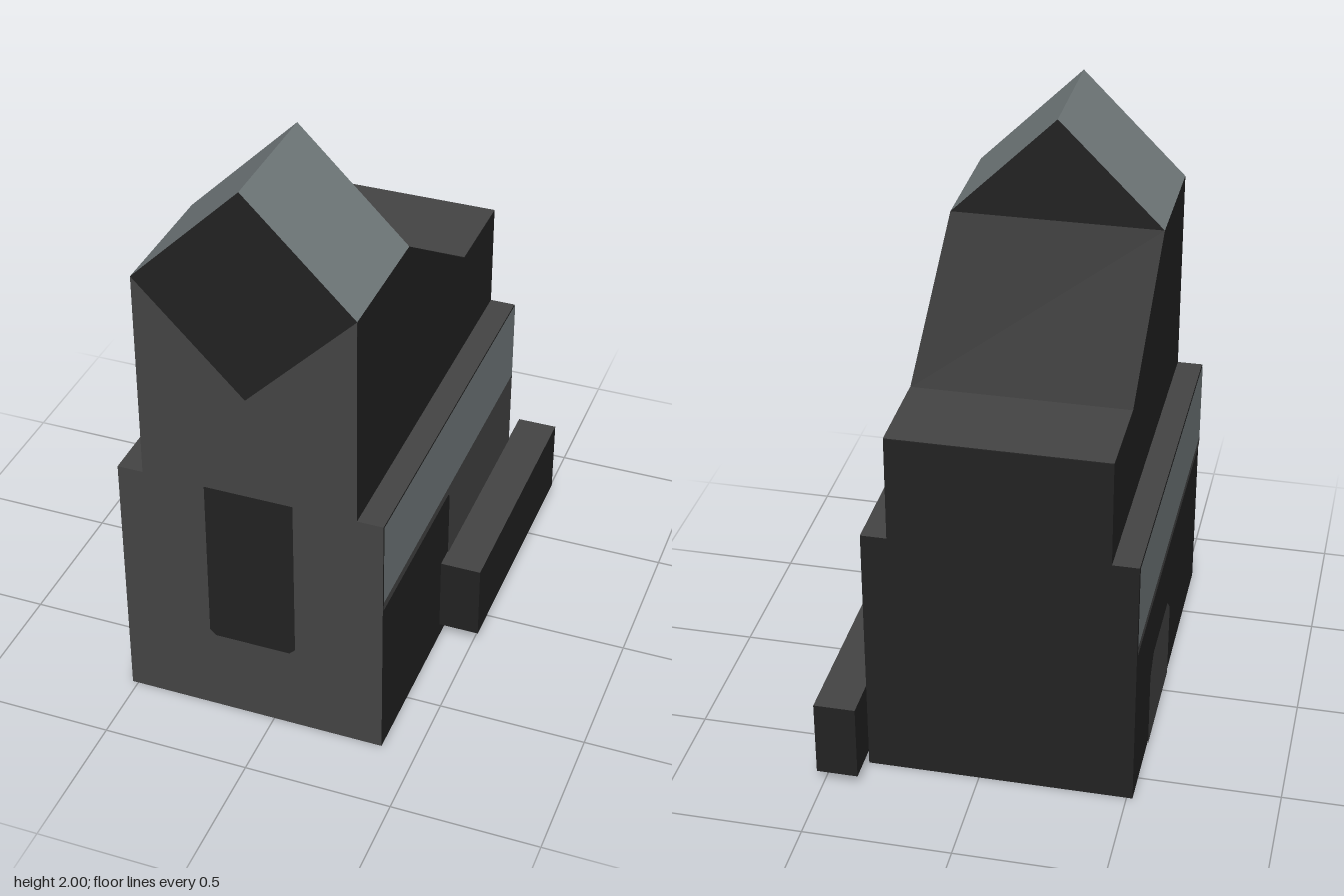
import * as THREE from 'three';

export function createModel() {
  const model = new THREE.Group();
  const mat = (name, color) => {
    const m = new THREE.MeshStandardMaterial({ color });
    m.name = name;
    return m;
  };
  const dark = mat('charcoal', 0x222222);
  const grey = mat('midGrey', 0x444444);
  const glass = mat('paleSlate', 0x727a7c);

  const add = (name, geometry, material) => {
    const mesh = new THREE.Mesh(geometry, material);
    mesh.name = name;
    model.add(mesh);
    return mesh;
  };

  const box = (name, [x0, x1], [y0, y1], [z0, z1], materials) =>
    add(name, new THREE.BoxGeometry(x1 - x0, y1 - y0, z1 - z0), materials)
      .position.set((x0 + x1) / 2, (y0 + y1) / 2, (z0 + z1) / 2);

  const outline = (points) => new THREE.Shape(points.map(([x, y]) => new THREE.Vector2(x, y)));

  // Flat painted panel, drawn as (across, up) and turned to face its wall
  const LIFT = 0.003;
  const panel = (name, points, material, turn, wall) => {
    const g = new THREE.ShapeGeometry(outline(points));
    g.translate(0, 0, wall + LIFT);
    g.rotateY(turn);
    return add(name, g, material);
  };
  const RIGHT = Math.PI / 2, LEFT = -Math.PI / 2;

  // Rectangle with cut corners at its top or bottom
  const cutRect = (x0, x1, y0, y1, bottom, top) => [
    [x0 + bottom, y0], [x1 - bottom, y0], [x1, y0 + bottom], [x1, y1 - top],
    [x1 - top, y1], [x0 + top, y1], [x0, y1 - top], [x0, y0 + bottom],
  ].filter((p, i, all) => {
    const q = all[(i + 1) % all.length];
    return p[0] !== q[0] || p[1] !== q[1];
  });

  // Lower block: dark sides, back and base; grey front and ledges
  box('lowerBody', [-0.52, 0.38], [0, 0.91], [-0.61, 0.75], [dark, dark, grey, dark, grey, dark]);

  // Low side wall with grey top
  box('sideWall', [0.38, 0.52], [0.05, 0.32], [-0.75, 0.16], [dark, dark, grey, dark, dark, dark]);

  // Upper block with sloping back, extruded across x
  const upper = new THREE.ExtrudeGeometry(
    outline([[-0.75, 0.91], [0.61, 0.91], [0.61, 1.275], [0.275, 1.275], [-0.295, 1.64], [-0.75, 1.64]]),
    { depth: 0.725, bevelEnabled: false });
  upper.rotateY(Math.PI / 2).translate(-0.432, 0, 0);
  add('upperBody', upper, dark);

  // Grey flat roof at the back
  const flatRoof = new THREE.PlaneGeometry(0.725, 0.335);
  flatRoof.rotateX(-Math.PI / 2).translate(-0.0695, 1.275 + LIFT, -0.4425);
  add('rearRoof', flatRoof, grey);

  // Gable roof: dark ends, pale slopes
  const gable = new THREE.ExtrudeGeometry(
    outline([[-0.432, 1.64], [0.293, 1.64], [-0.07, 2]]), { depth: 0.455, bevelEnabled: false });
  gable.translate(0, 0, 0.295);
  add('gableRoof', gable, [dark, glass]);

  // Grey upper front, notched so the dark diamond shows
  panel('upperFront',
    [[-0.432, 0.91], [0.293, 0.91], [0.293, 1.64], [-0.07, 1.275], [-0.432, 1.64]], grey, 0, 0.75 - LIFT + 0.001);

  // Tall front window
  panel('frontWindow', cutRect(-0.22, 0.08, 0.305, 0.91, 0.02, 0), dark, 0, 0.75);

  // Pale bands along both sides
  panel('rightBand', cutRect(-0.75, 0.61, 0.61, 0.91, 0, 0), glass, RIGHT, 0.38);
  panel('leftBand', cutRect(-0.61, 0.75, 0.61, 0.91, 0, 0), glass, LEFT, 0.52);

  // Grey trim below the bands; on the right it widens into a rear panel
  panel('rightTrim',
    [[-0.75, 0.58], [-0.11, 0.58], [-0.095, 0.565], [-0.095, 0.3], [0.61, 0.3], [0.61, 0.61], [-0.75, 0.61]],
    grey, RIGHT, 0.38);
  panel('leftTrim', cutRect(-0.61, 0.75, 0.58, 0.61, 0, 0), grey, LEFT, 0.52);

  // Doorway on the left side
  panel('sideDoor', cutRect(-0.31, 0.11, 0, 0.34, 0, 0.06), grey, LEFT, 0.52);

  return model;
}
